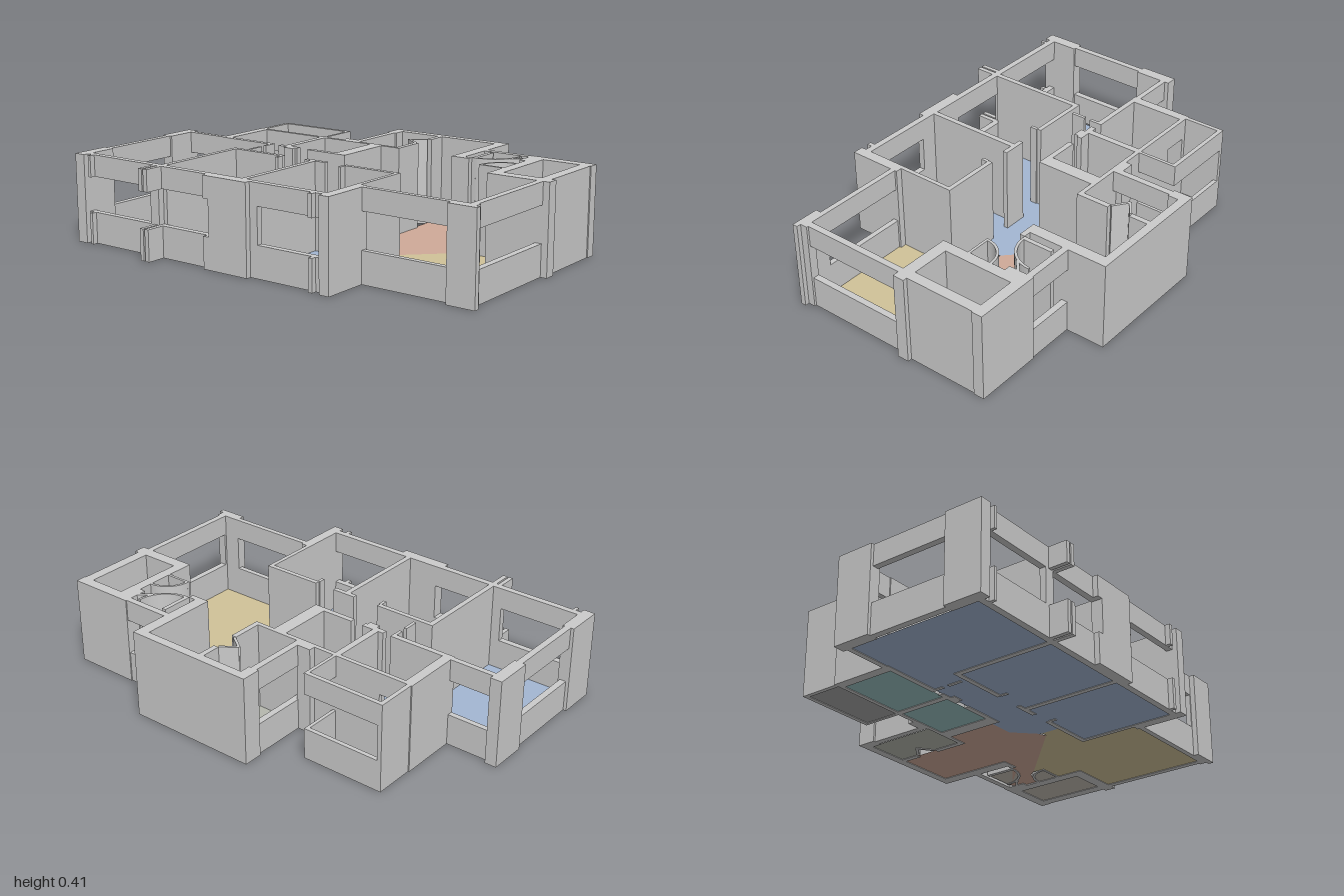
import * as THREE from 'three';

const H = 0.41, SILL = 0.145, HEAD = 0.31;

export function createModel() {
  const model = new THREE.Group();
  const grey = new THREE.MeshStandardMaterial({ color: 0xcccccc });

  function box(parent, name, x0, x1, z0, z1, y0, y1) {
    const m = new THREE.Mesh(new THREE.BoxGeometry(x1 - x0, y1 - y0, z1 - z0), grey);
    m.position.set((x0 + x1) / 2, (y0 + y1) / 2, (z0 + z1) / 2);
    m.name = name;
    parent.add(m);
  }
  function group(name) {
    const g = new THREE.Group();
    g.name = name;
    model.add(g);
    return g;
  }
  // full height walls, each row x0, x1, z0, z1
  function walls(name, rows) {
    const g = group(name + 's');
    for (const r of rows) box(g, name, ...r, 0, H);
  }
  // sill below and lintel above an opening
  function windows(name, rows) {
    const g = group(name + 's');
    for (const r of rows) {
      box(g, 'sill', ...r, 0, SILL);
      box(g, 'lintel', ...r, HEAD, H);
    }
  }
  // flat coloured floor from x, z corners
  function floor(name, color, pts) {
    const s = new THREE.Shape(pts.map(([x, z]) => new THREE.Vector2(x, -z)));
    const geo = new THREE.ShapeGeometry(s).rotateX(-Math.PI / 2);
    const m = new THREE.Mesh(geo, new THREE.MeshStandardMaterial({ color, side: THREE.DoubleSide }));
    m.position.y = 0.003;
    m.name = name;
    model.add(m);
  }
  const rect = (x0, x1, z0, z1) => [[x0, z0], [x1, z0], [x1, z1], [x0, z1]];
  // thin upright panel between two plan points
  function panel(parent, name, xa, za, xb, zb, t = 0.012) {
    const len = Math.hypot(xb - xa, zb - za);
    const m = new THREE.Mesh(new THREE.BoxGeometry(len, H, t), grey);
    m.position.set((xa + xb) / 2, H / 2, (za + zb) / 2);
    m.rotation.y = -Math.atan2(zb - za, xb - xa);
    m.name = name;
    parent.add(m);
  }

  // outer walls and pillars
  walls('outerWall', [
    [-0.185, 0.44, -0.72, -0.68],   // back block
    [0.385, 0.44, -0.68, -0.315],
    [-0.185, -0.135, -0.68, -0.63],
    [-0.735, -0.715, -0.53, -0.34], // balcony side
    [-0.74, -0.695, -0.34, -0.05],
    [-1, -0.945, -0.09, 0.09],      // left room corners
    [-1, -0.945, 0.475, 0.655],
    [-0.56, -0.51, 0.6, 0.63],      // front pillars
    [-0.2, 0.01, 0.6, 0.655],
    [0.01, 0.05, 0.6, 0.63],
    [0.39, 0.44, 0.4, 0.655],
    [0.86, 0.98, 0.41, 0.435],
    [0.865, 1, 0.435, 0.46],
    [0.94, 0.98, 0.4, 0.43],
  ]);

  // tall shaft at the back corner
  walls('shaftWall', [
    [0.7, 0.985, -0.54, -0.49],
    [0.7, 0.75, -0.49, -0.36],
    [0.7, 0.75, -0.36, -0.15],
    [0.93, 0.98, -0.49, -0.15],
    [0.7, 1, -0.155, -0.1],
  ]);

  // inner walls
  walls('innerWall', [
    [-0.515, -0.49, 0.13, 0.6],     // between front rooms
    [-0.055, -0.03, 0.14, 0.6],
    [0.39, 0.41, 0.12, 0.4],
    [-0.515, -0.22, 0.12, 0.142],   // corridor front side
    [-0.09, 0.025, 0.12, 0.142],
    [0.125, 0.41, 0.12, 0.142],
    [-0.23, -0.215, 0.142, 0.175],
    [0.12, 0.135, 0.142, 0.175],
    [-0.74, -0.43, -0.065, -0.04],  // corridor back side
    [-0.39, -0.28, -0.065, -0.04],
    [-0.22, -0.005, -0.065, -0.04],
    [-0.07, -0.005, -0.34, -0.04],
    [-0.365, -0.335, -0.34, -0.05],
    [-0.34, -0.29, -0.04, -0.02],
    [-0.445, -0.43, -0.04, 0.0],    // left room door posts
    [-0.445, -0.43, 0.03, 0.1],
    [-0.58, -0.335, -0.34, -0.32],  // wet room back
    [-0.34, -0.23, -0.34, -0.32],
    [-0.24, -0.17, -0.37, -0.32],
    [-0.17, 0.095, -0.34, -0.32],
    [0.07, 0.095, -0.68, -0.59],    // back block partition
    [0.07, 0.095, -0.48, -0.32],
    [0.44, 0.475, -0.34, -0.315],
    [0.475, 0.495, -0.49, -0.34],
    [0.67, 0.7, -0.54, -0.42],
  ]);

  // walls with window openings
  windows('windowWall', [
    [-0.945, -0.56, 0.6, 0.63],
    [-0.51, -0.2, 0.6, 0.63],
    [0.05, 0.39, 0.6, 0.63],
    [0.44, 0.86, 0.41, 0.435],
    [0.94, 0.97, -0.1, 0.4],
    [-0.985, -0.955, 0.09, 0.475],
    [-0.945, -0.74, -0.07, -0.045],
    [-0.735, -0.34, -0.53, -0.51],
    [-0.355, -0.34, -0.51, -0.34],
    [-0.695, -0.58, -0.34, -0.32],
    [-0.175, -0.145, -0.63, -0.34],
    [0.44, 0.67, -0.535, -0.505],
  ]);

  // projecting fins on the facade
  windows('facadeFin', [
    [-0.54, -0.52, 0.63, 0.72], [-0.512, -0.49, 0.63, 0.72],
    [-0.92, -0.905, 0.63, 0.655], [-0.23, -0.2, 0.63, 0.655],
    [0.335, 0.355, 0.63, 0.655],
  ]);

  // folding door of the back block
  const doors = group('doors');
  panel(doors, 'foldingDoorLeaf', 0.075, -0.585, 0.005, -0.535);
  panel(doors, 'foldingDoorLeaf', 0.005, -0.535, 0.075, -0.485);

  // curved entrance screens with their quarter circle floors
  for (const [cx, cz, r, a0] of [[0.49, -0.49, 0.15, -Math.PI / 2], [0.7, -0.235, 0.12, Math.PI / 2]]) {
    const a1 = a0 + Math.PI / 2, ring = new THREE.Shape();
    ring.absarc(cx, -cz, r, a0, a1, false);
    ring.absarc(cx, -cz, r - 0.012, a1, a0, true);
    const geo = new THREE.ExtrudeGeometry(ring, { depth: H, bevelEnabled: false, curveSegments: 10 });
    const m = new THREE.Mesh(geo.rotateX(-Math.PI / 2), grey);
    m.name = 'curvedScreen';
    doors.add(m);
    const pts = [[cx, cz]];
    for (let i = 0; i <= 10; i++) {
      const a = a0 + (a1 - a0) * i / 10;
      pts.push([cx + r * Math.cos(a), cz - r * Math.sin(a)]);
    }
    floor('screenFloor', 0xc2bcb2, pts);
  }
  panel(doors, 'entranceDoor', 0.58, -0.235, 0.7, -0.235);
  panel(doors, 'entranceDoor', 0.62, -0.42, 0.68, -0.47);

  // floors
  floor('bedroomFloor', 0xa3b6d2, [
    [-0.945, -0.045], [0, -0.045], [0, -0.08], [0.12, -0.08], [0.22, 0.02], [0.22, 0.125],
    [0.39, 0.125], [0.39, 0.605], [-0.945, 0.605]]);
  floor('hallFloor', 0xcfaa98, [
    [0.08, -0.68], [0.387, -0.68], [0.387, -0.315], [0.45, -0.315], [0.62, -0.45], [0.64, -0.49],
    [0.695, -0.47], [0.695, -0.36], [0.6, -0.32], [0.58, -0.29], [0.25, 0.03], [0.21, 0.01],
    [0.12, -0.08], [-0.005, -0.08], [-0.005, -0.325], [0.08, -0.325]]);
  floor('livingRoomFloor', 0xd0c298, [
    [0.58, -0.29], [0.58, -0.235], [0.7, -0.235], [0.7, -0.1], [0.945, -0.1], [0.945, 0.41],
    [0.4, 0.41], [0.4, 0.125], [0.22, 0.125], [0.22, 0.03], [0.25, 0.03]]);
  floor('wetRoomFloor', 0x98c0c0, rect(-0.697, -0.363, -0.322, -0.063));
  floor('wetRoomFloor', 0x98c0c0, rect(-0.337, -0.068, -0.322, -0.063));
  floor('balconyFloor', 0xa6a6a6, rect(-0.717, -0.353, -0.512, -0.338));
  floor('kitchenFloor', 0xb5b8ae, [
    [-0.137, -0.682], [0.072, -0.682], [0.072, -0.585], [0.005, -0.535], [0.072, -0.485],
    [0.072, -0.338], [-0.137, -0.338]]);
  floor('shaftFloor', 0xc2bcb2, rect(0.748, 0.932, -0.492, -0.153));

  return model;
}
